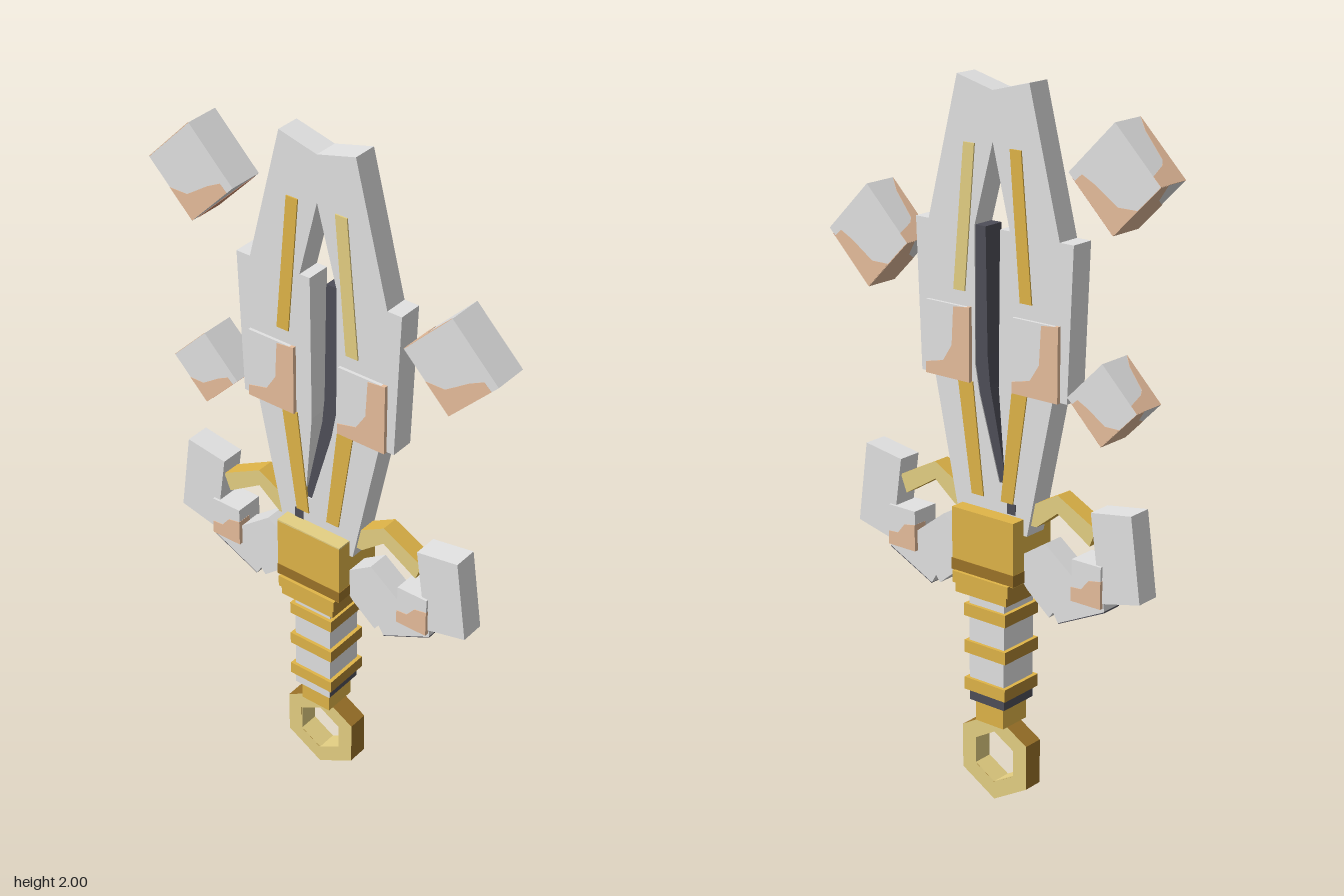
import * as THREE from 'three';

const material = (name, color) => {
  const m = new THREE.MeshStandardMaterial({ color });
  m.name = name;
  return m;
};

export function createModel() {
  const steel = material('steel grey', 0xe2e2e2);
  const gold = material('gold', 0xe0b548);
  const deepGold = material('deep gold', 0xb08534);
  const bronze = material('bronze', 0x9c7328);
  const paleGold = material('pale gold', 0xe5d083);
  const copper = material('copper', 0xeac09e);
  const rust = material('rust', 0xd09070);
  const dark = material('dark core', 0x4e4e58);
  const banded = [deepGold, deepGold, gold, gold, gold, gold]; // darker left and right faces

  const model = new THREE.Group();
  model.name = 'sword';
  const sword = new THREE.Group();
  sword.name = 'swordBody';
  sword.position.x = -0.013;
  model.add(sword);

  const toShape = (pts) => new THREE.Shape(pts.map((p) => new THREE.Vector2(...p)));
  const flip = (pts) => pts.map(([x, y]) => [-x, y]).reverse();

  // Flat outline extruded evenly to +-half in z
  const slab = (name, pts, half, mat, parent = sword, hole = null) => {
    const shape = toShape(pts);
    if (hole) shape.holes.push(toShape(hole));
    const geo = new THREE.ExtrudeGeometry(shape, { depth: half * 2, bevelEnabled: false });
    geo.translate(0, 0, -half);
    const mesh = new THREE.Mesh(geo, mat);
    mesh.name = name;
    parent.add(mesh);
    return mesh;
  };
  const box = (name, w, y0, y1, d, mat, parent = sword) => {
    const mesh = new THREE.Mesh(new THREE.BoxGeometry(w, y1 - y0, d), mat);
    mesh.position.y = (y0 + y1) / 2;
    mesh.name = name;
    parent.add(mesh);
    return mesh;
  };
  const pair = (name, pts, half, mat) => {
    slab(name + 'Left', pts, half, mat);
    slab(name + 'Right', flip(pts), half, mat);
  };

  // Blade with stepped sides and a long central opening
  const half = [[0.116, 0.81], [0.198, 1.2], [0.244, 1.2], [0.26, 1.615], [0.216, 1.615], [0.117, 2]];
  const opening = [
    [0, 1.84], [-0.056, 1.62], [-0.024, 1.62], [-0.02, 1.2], [-0.042, 0.94],
    [-0.022, 0.94], [0.045, 1.17], [0.06, 1.25], [0.06, 1.62],
  ];
  slab('blade', [...half, [0, 1.97], ...flip(half)], 0.035, steel, sword, opening);

  // Dark core filling one side of the opening
  slab('core', [[0.026, 1.62], [0.064, 1.62], [0.064, 1.25], [0.05, 1.17], [-0.02, 0.94], [-0.044, 0.94],
    [0.012, 1.2], [0.02, 1.28]], 0.032, dark);
  slab('coreTip', [[-0.078, 0.89], [-0.05, 0.89], [-0.05, 0.86], [-0.078, 0.86]], 0.037, dark);

  // Gold inlays through the blade
  const upper = [[0.058, 1.83], [0.094, 1.83], [0.13, 1.44], [0.092, 1.44]];
  slab('upperInlayLeft', upper, 0.039, paleGold);
  slab('upperInlayRight', flip(upper), 0.039, gold);
  pair('lowerInlay', [[0.03, 0.89], [0.07, 0.89], [0.116, 1.2], [0.066, 1.2]], 0.039, gold);

  // Square plates whose copper stain wraps over the edges, alike on front and back
  const stainedPlate = (name, x, y, w, h, z, stain) => {
    const g = new THREE.Group();
    g.name = name;
    g.position.set(x, y, 0);
    sword.add(g);
    box('plate', w, -h / 2, h / 2, z * 2, steel, g);
    const pts = stain.map(([u, v]) => [(u - 0.5) * w * 1.015, (v - 0.5) * h * 1.015]);
    const depth = z / 2 + 0.001;
    slab('frontStain', pts, depth, copper, g).position.z = depth;
    const back = slab('backStain', pts, depth, copper, g);
    back.rotation.y = Math.PI;
    back.position.z = -depth;
  };
  const bladeStain = [[0, 0], [1, 0], [1, 1], [0.64, 0.97], [0.6, 0.45], [0.4, 0.22], [0, 0.15]];
  const guardStain = [[0, 0], [1, 0], [1, 0.66], [0.6, 0.6], [0.35, 0.35], [0, 0.33]];
  for (const side of [1, -1]) {
    stainedPlate('bladePlate', side * 0.146, 1.3, 0.148, 0.2, 0.044, bladeStain);
    stainedPlate('guardPlate', side * 0.318, 0.732, 0.094, 0.115, 0.043, guardStain);
  }

  // Guard arms with dark undersides, upright tips and gold braces
  pair('guardArm', [[0.09, 0.69], [0.116, 0.66], [0.19, 0.6], [0.204, 0.618], [0.22, 0.592], [0.37, 0.664],
    [0.36, 0.79], [0.27, 0.733], [0.175, 0.805], [0.09, 0.75]], 0.033, steel);
  pair('guardUnderside', [[0.221, 0.59], [0.37, 0.661], [0.37, 0.665], [0.221, 0.594]], 0.0325, dark);
  pair('guardTip', [[0.357, 0.685], [0.484, 0.715], [0.452, 0.948], [0.325, 0.928], [0.345, 0.79]], 0.036, steel);
  pair('guardBrace', [[0.14, 0.84], [0.21, 0.895], [0.315, 0.83], [0.335, 0.88], [0.21, 0.945], [0.1, 0.885],
    [0.09, 0.84]], 0.026, [paleGold, gold]);

  // Hilt block with a darker lower band and stepped collar
  box('hiltBlock', 0.21, 0.675, 0.856, 0.158, gold);
  box('hiltBand', 0.213, 0.677, 0.71, 0.161, bronze);
  const cap = box('hiltTop', 0.21, 0.855, 0.86, 0.079, paleGold);
  cap.position.z = 0.0395;
  box('collar', 0.19, 0.645, 0.678, 0.18, banded);
  box('lowerCollar', 0.176, 0.618, 0.645, 0.172, banded);

  // Grip with three rings and a dark end
  box('grip', 0.12, 0.33, 0.62, 0.124, steel);
  for (const y of [0.33, 0.44, 0.548]) box('gripRing', 0.142, y, y + 0.036, 0.142, banded);
  box('gripEnd', 0.12, 0.298, 0.332, 0.122, dark);
  const face = box('gripEndFace', 0.12, 0.298, 0.332, 0.004, steel);
  face.position.z = 0.062;
  box('neck', 0.096, 0.235, 0.298, 0.1, gold);

  // Hexagonal pommel ring with a pale lining
  const hexagon = (r) => Array.from({ length: 6 }, (_, i) => {
    const a = Math.PI / 2 + (i * Math.PI) / 3;
    return [r * Math.cos(a), 0.13 + r * Math.sin(a)];
  });
  slab('pommelRing', hexagon(0.13), 0.03, [paleGold, bronze], sword, hexagon(0.078));
  slab('pommelLining', hexagon(0.079), 0.0295, paleGold, sword, hexagon(0.076));

  // Floating tilted blocks with copper stains per face
  const frontStain = [[-1, -1], [0.72, -1], [0.7, -0.7], [0.25, -0.55], [-0.25, -0.45], [-0.58, -0.38], [-1, 0.04]];
  const topStain = [[-1, -1], [1, -1], [0.6, -0.65], [-0.3, -0.4], [-0.45, -0.1], [-0.67, 1], [-1, 1]];
  const bottomStain = [[-1, -1], [0.8, -1], [0.6, -0.5], [0, -0.1], [-0.5, 0.4], [-1, 0.6]];
  const sideStain = [[-1, -1], [1, -1], [1, 0], [0.2, 0.3], [-0.4, 1], [-1, 1]];
  const blocks = [[-0.404, 1.8, 0.195], [0.405, 1.541, 0.197], [-0.378, 1.226, 0.153]];
  for (const [x, y, size] of blocks) {
    const g = new THREE.Group();
    g.name = 'floatingBlock';
    g.position.set(x, y, 0);
    g.rotation.z = Math.PI / 4;
    model.add(g);
    const s = size / 2, d = 0.051;
    box('block', size, -s, s, d * 2, steel, g);
    const scaled = (pts, a, b) => pts.map(([u, v]) => [u * a, v * b]);
    for (const z of [d, -d]) slab('faceStain', scaled(frontStain, s, s), 0.001, copper, g).position.z = z;
    const top = slab('topStain', scaled(topStain, s, d), 0.001, copper, g);
    top.rotation.x = -Math.PI / 2;
    top.position.y = s;
    const bottom = slab('bottomStain', scaled(bottomStain, s, d), 0.001, rust, g);
    bottom.rotation.x = Math.PI / 2;
    bottom.position.y = -s;
    const side = slab('sideStain', scaled(sideStain, d, s), 0.001, copper, g);
    side.rotation.y = -Math.PI / 2;
    side.position.x = -s;
  }
  return model;
}
